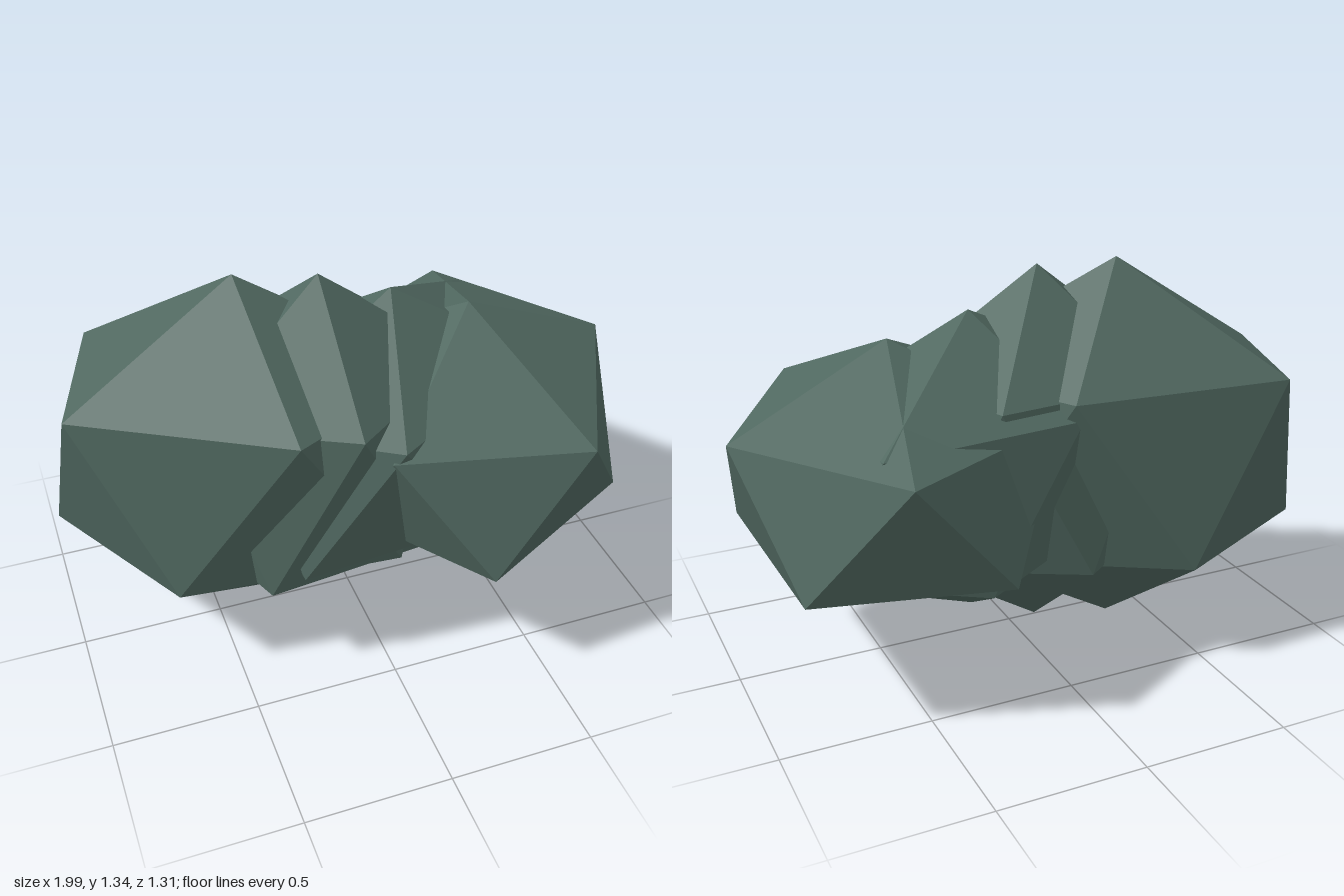
import * as THREE from 'three';

export function createModel() {
  const group = new THREE.Group();
  group.name = 'boulderCluster';

  const stone = new THREE.MeshStandardMaterial({ color: 0x506860, flatShading: true });
  stone.name = 'mossy grey stone';

  // Icosahedron standing on a corner, one upper-ring corner towards +x
  const golden = (1 + Math.sqrt(5)) / 2;
  const lump = new THREE.IcosahedronGeometry(1, 0).rotateZ(-Math.atan(1 / golden));

  // Four stretched, turned lumps in a row that run into each other
  const lumps = [
    { name: 'rightBoulder', at: [-0.36, 0.672, -0.08], size: [0.75, 0.67, 0.518], turn: 17.4 },
    { name: 'rightMiddleBoulder', at: [-0.095, 0.672, -0.015], size: [0.59, 0.657, 0.488], turn: 158.6 },
    { name: 'leftMiddleBoulder', at: [0.17, 0.672, -0.05], size: [0.499, 0.538, 0.738], turn: -122 },
    { name: 'leftBoulder', at: [0.435, 0.674, 0], size: [0.754, 0.457, 0.618], turn: -76.7 },
  ];

  for (const { name, at, size, turn } of lumps) {
    const mesh = new THREE.Mesh(lump, stone);
    mesh.name = name;
    mesh.position.set(...at);
    mesh.scale.set(...size);
    mesh.rotation.y = -THREE.MathUtils.degToRad(turn);
    group.add(mesh);
  }
  return group;
}
